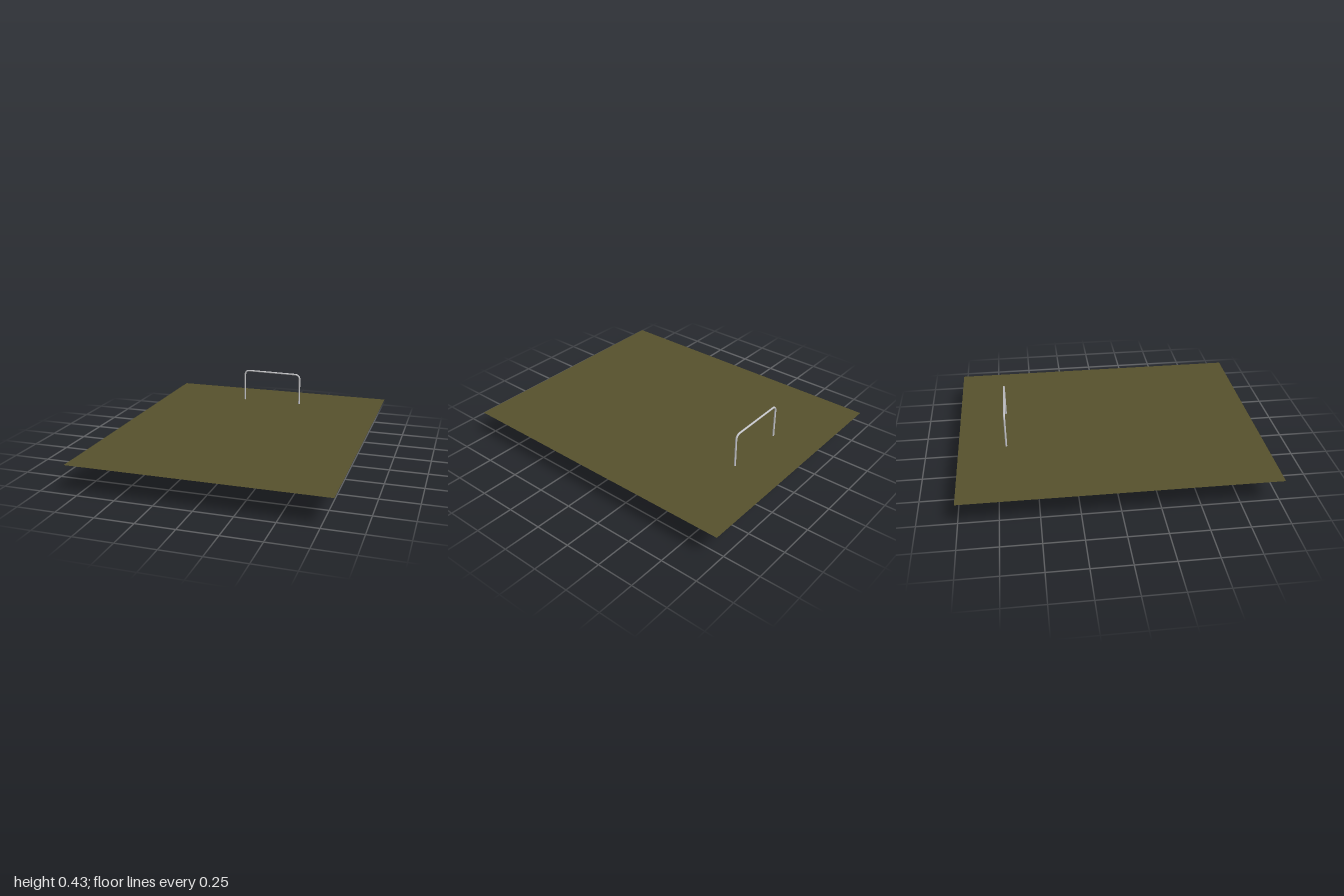
import * as THREE from 'three';

export function createModel() {
  const model = new THREE.Group();

  const grass = new THREE.MeshStandardMaterial({ color: 0x57522d, side: THREE.DoubleSide });
  grass.name = 'olive ground';
  const steel = new THREE.MeshStandardMaterial({ color: 0xc6c6c9 });
  steel.name = 'pale steel';

  // Flat ground sheet, part way up the legs
  const ground = new THREE.Mesh(new THREE.PlaneGeometry(1.646, 2).rotateX(-Math.PI / 2), grass);
  ground.name = 'ground';
  ground.position.y = 0.19;
  model.add(ground);

  // Bent pipe hoop with rounded corners, sitting very slightly askew
  const radius = 0.0065, bend = 0.032;
  const v = (x, y, z) => new THREE.Vector3(x, y, z);
  const footL = v(0.218, 0, -0.688), topL = v(0.218, 0.415, -0.688);
  const footR = v(-0.211, 0.012, -0.69), topR = v(-0.211, 0.42, -0.69);
  const toward = (from, to) => from.clone().add(to.clone().sub(from).setLength(bend));

  const path = [footR, toward(topR, footR)];
  const addBend = (from, corner, to) => {
    const curve = new THREE.QuadraticBezierCurve3(toward(corner, from), corner.clone().lerp(
      toward(corner, from).add(toward(corner, to)).multiplyScalar(0.5), 0.17), toward(corner, to));
    path.push(...curve.getPoints(6).slice(1));
  };
  addBend(footR, topR, topL);
  path.push(toward(topL, topR));
  addBend(topR, topL, footL);
  path.push(footL);

  const pipe = new THREE.CurvePath();
  for (let i = 1; i < path.length; i++) pipe.add(new THREE.LineCurve3(path[i - 1], path[i]));
  const hoop = new THREE.Group();
  hoop.name = 'hoop';
  const tube = new THREE.Mesh(new THREE.TubeGeometry(pipe, 240, radius, 12), steel);
  tube.name = 'hoopPipe';
  hoop.add(tube);

  // Closed pipe ends
  for (const foot of [footL, footR]) {
    const cap = new THREE.Mesh(new THREE.CircleGeometry(radius, 12).rotateX(Math.PI / 2), steel);
    cap.name = 'pipeEnd';
    cap.position.copy(foot);
    hoop.add(cap);
  }
  model.add(hoop);
  return model;
}
